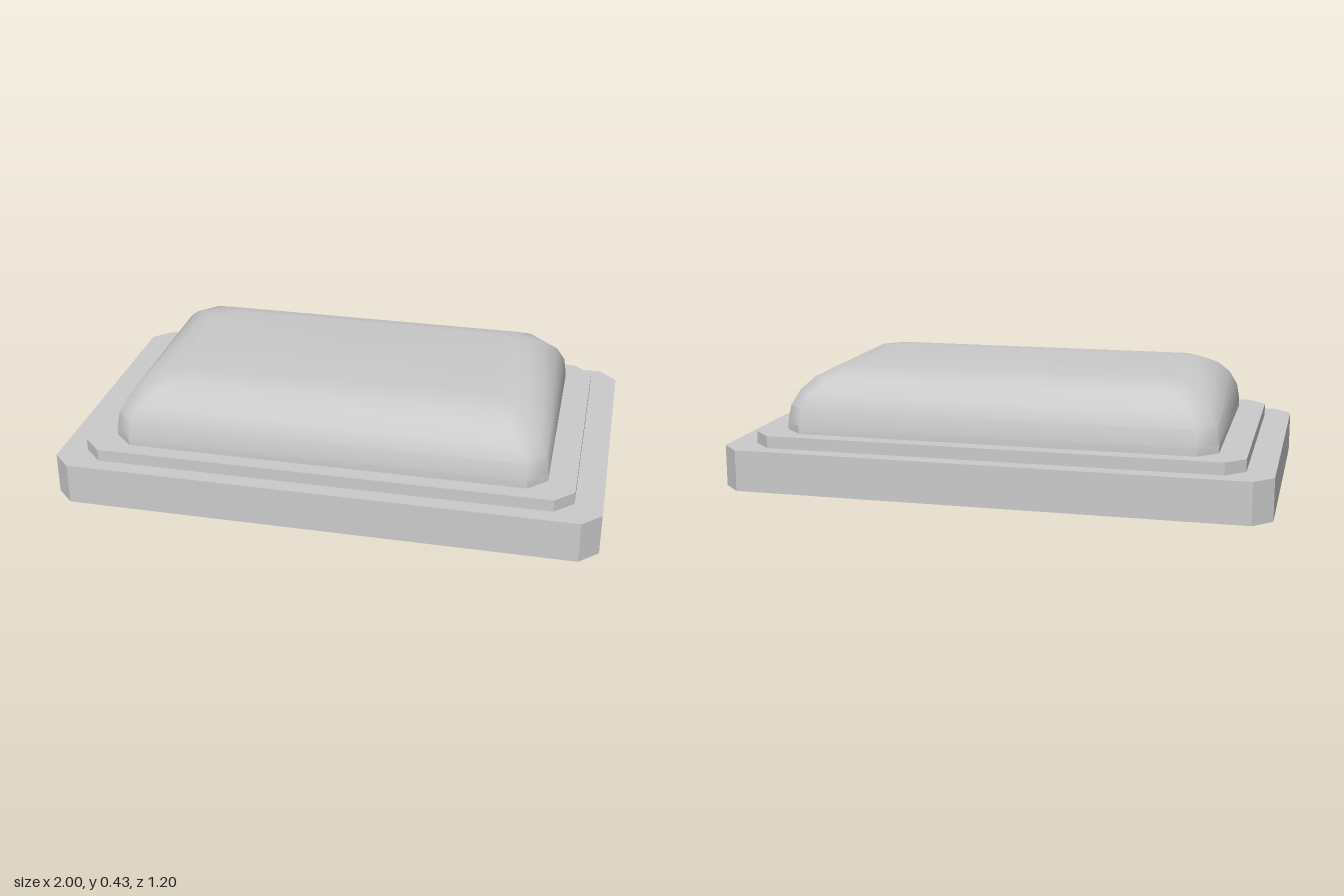
import * as THREE from 'three';
import { toCreasedNormals } from 'three/addons/utils/BufferGeometryUtils.js';

const CHAMFER = 0.068;

// Rectangle with clipped corners, anticlockwise seen from above
function outline(hx, hz) {
  const c = CHAMFER;
  return [
    [hx, hz - c], [hx, c - hz], [hx - c, -hz], [c - hx, -hz],
    [-hx, c - hz], [-hx, hz - c], [c - hx, hz], [hx - c, hz],
  ];
}

// Closed solid skinned over a stack of clipped rectangles [halfX, halfZ, y]
function stackedSolid(rings, crease) {
  const positions = [];
  const index = [];
  for (const [hx, hz, y] of rings) {
    for (const [x, z] of outline(hx, hz)) positions.push(x, y, z);
  }
  for (let r = 0; r < rings.length - 1; r++) {
    for (let i = 0; i < 8; i++) {
      const a = r * 8 + i;
      const b = r * 8 + (i + 1) % 8;
      index.push(a, b, b + 8, a, b + 8, a + 8);
    }
  }
  const top = (rings.length - 1) * 8;
  for (let i = 1; i < 7; i++) {
    index.push(0, i + 1, i);
    index.push(top, top + i, top + i + 1);
  }
  const geometry = new THREE.BufferGeometry();
  geometry.setAttribute('position', new THREE.Float32BufferAttribute(positions, 3));
  geometry.setIndex(index);
  return toCreasedNormals(geometry, crease);
}

export function createModel() {
  const group = new THREE.Group();
  const material = new THREE.MeshStandardMaterial({ color: 0xcccccc });

  function add(name, rings, crease) {
    const mesh = new THREE.Mesh(stackedSolid(rings, crease), material);
    mesh.name = name;
    group.add(mesh);
  }

  // Base plate and the thinner step on it
  add('basePlate', [[1, 0.6, 0], [1, 0.6, 0.153]], 0.5);
  add('step', [[0.9, 0.54, 0.153], [0.9, 0.54, 0.198]], 0.5);

  // Cushion-shaped cap: short upright rim, then a quarter-round shoulder
  const radius = 0.2;
  const segments = 5;
  const rings = [[0.8, 0.48, 0.198]];
  for (let i = 0; i <= segments; i++) {
    const t = (i / segments) * Math.PI / 2;
    const inset = radius * (1 - Math.cos(t));
    rings.push([0.8 - inset, 0.48 - inset, 0.227 + radius * Math.sin(t)]);
  }
  add('roundedCap', rings, 0.78);

  return group;
}
